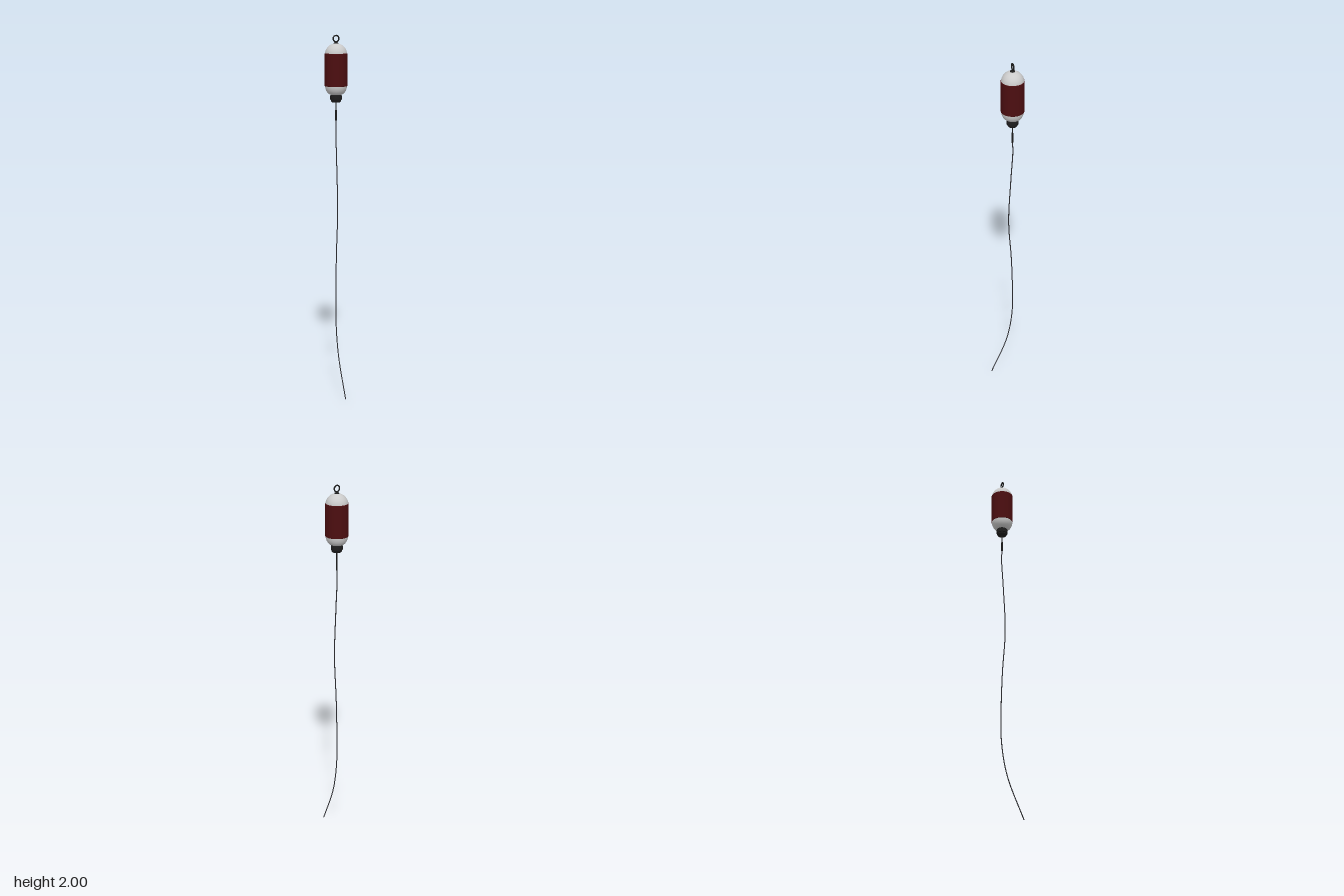
import * as THREE from 'three';
import { toCreasedNormals } from 'three/addons/utils/BufferGeometryUtils.js';

const AXIS_Z = -0.034;

export function createModel() {
  const group = new THREE.Group();
  const grey = new THREE.MeshStandardMaterial({ color: 0xcccccc });
  const red = new THREE.MeshStandardMaterial({ color: 0x4c0e10 });
  const black = new THREE.MeshStandardMaterial({ color: 0x1c1c1c });
  const rubber = new THREE.MeshStandardMaterial({ color: 0x2c2c30, side: THREE.DoubleSide });

  const add = (name, geometry, material, y = 0, z = AXIS_Z) => {
    const mesh = new THREE.Mesh(geometry, material);
    mesh.name = name;
    mesh.position.set(0, y, z);
    group.add(mesh);
    return mesh;
  };
  // Turned part from [radius, height] pairs, listed bottom to top
  const lathe = (points, sides, crease) => {
    const g = new THREE.LatheGeometry(points.map(([r, y]) => new THREE.Vector2(r, y)), sides);
    return crease ? toCreasedNormals(g, crease) : g;
  };

  // Tank: rounded base, straight wall and domed top
  const profile = [[0, 1.682]];
  for (let i = 0; i <= 8; i++) {
    const a = (i / 8) * Math.PI / 2;
    profile.push([0.024 + 0.035 * Math.sin(a), 1.735 - 0.052 * Math.cos(a)]);
  }
  for (let i = 0; i <= 12; i++) {
    const a = (i / 12) * Math.PI / 2;
    profile.push([0.059 * Math.cos(a), 1.897 + 0.058 * Math.sin(a)]);
  }
  add('tank', lathe(profile, 48), grey);

  // Coloured sleeve around the tank
  add('band', lathe([[0.057, 1.728], [0.0605, 1.731], [0.0605, 1.902], [0.057, 1.905]], 48, 0.6), red);

  // Ring and its foot on top
  add('ringFoot', lathe([[0.0125, 1.95], [0.0125, 1.957], [0.007, 1.961], [0.005, 1.966], [0, 1.967]], 24, 0.6), black);
  add('hangingRing', new THREE.TorusGeometry(0.0165, 0.0037, 10, 32), black, 1.9798);

  // Screw collar below
  add('collar', lathe([
    [0, 1.644], [0.023, 1.644], [0.027, 1.649], [0.027, 1.654], [0.031, 1.658],
    [0.031, 1.678], [0.028, 1.683], [0.022, 1.687], [0, 1.687],
  ], 32, 0.6), black);

  // Outlet stem and hose sleeve
  add('outletStem', new THREE.CylinderGeometry(0.003, 0.003, 0.06, 12), black, 1.62);
  add('hoseSleeve', new THREE.CylinderGeometry(0.0045, 0.0045, 0.058, 12), black, 1.573);

  // Hanging hose, given as [height, z]
  const path = new THREE.CatmullRomCurve3([
    [1.56, -0.034], [1.54, -0.034], [1.5, -0.037], [1.315, -0.026], [1.05, -0.014],
    [0.8, -0.03], [0.6, -0.037], [0.44, -0.037], [0.305, -0.021], [0.2, 0.006], [0.001, 0.0915],
  ].map(([y, z]) => new THREE.Vector3(0, y, z)));
  add('hose', new THREE.TubeGeometry(path, 60, 0.0028, 10), rubber, 0, 0);

  // Closed hose tip
  const tip = add('hoseTip', new THREE.CircleGeometry(0.0028, 10), rubber);
  tip.position.copy(path.getPoint(1));
  tip.quaternion.setFromUnitVectors(new THREE.Vector3(0, 0, 1), path.getTangent(1));

  return group;
}
